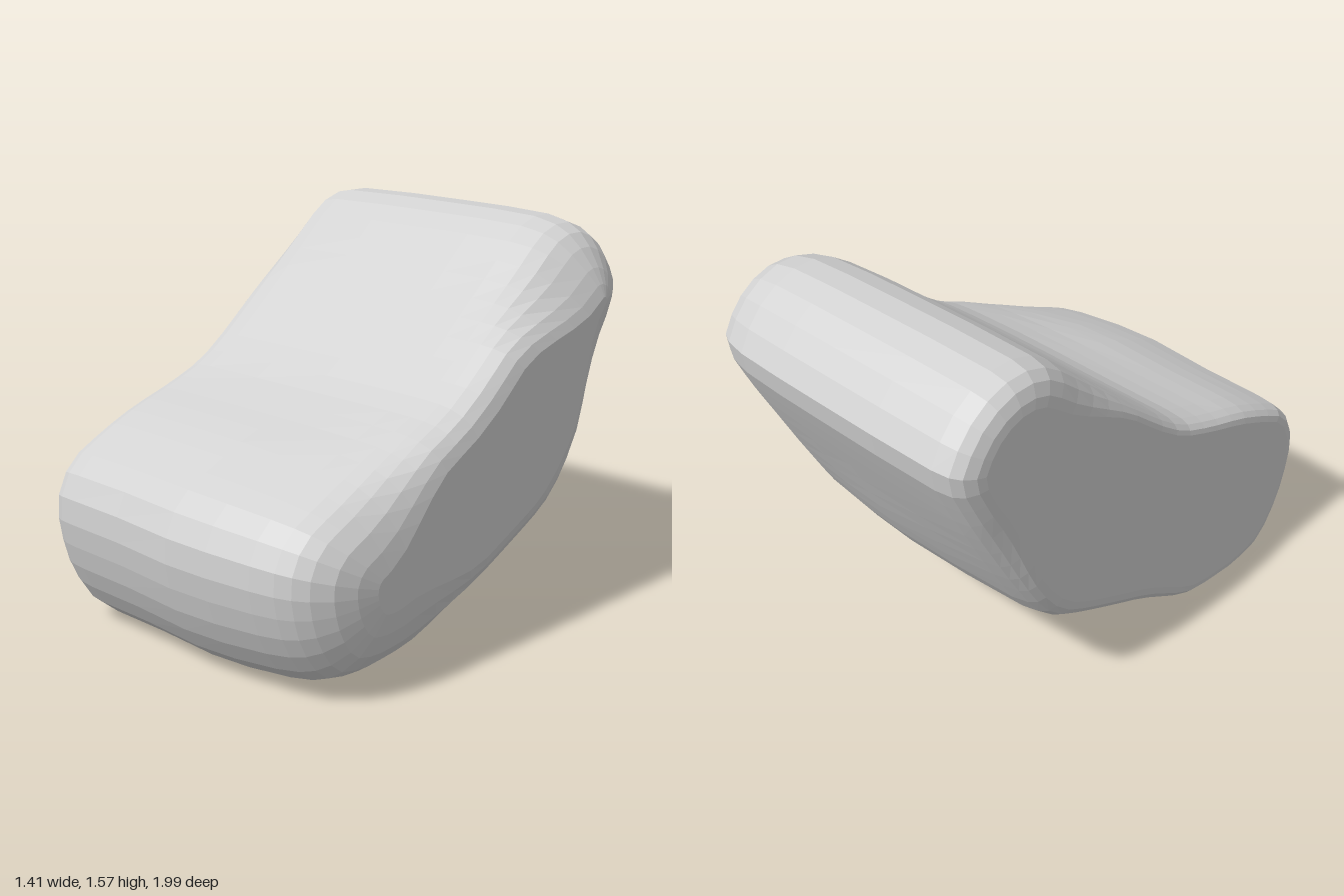
import * as THREE from 'three';

// Side outline as (z, y): front edge, over the seat and backrest, down the back, along the underside
const OUTLINE = new THREE.SplineCurve([
  [1.0, 0.45], [0.99, 0.56], [0.92, 0.67], [0.8, 0.74], [0.6, 0.825], [0.4, 0.885], [0.2, 0.96],
  [0.0, 1.1], [-0.2, 1.27], [-0.4, 1.45], [-0.5, 1.53], [-0.6, 1.57], [-0.7, 1.575], [-0.8, 1.545],
  [-0.9, 1.475], [-0.97, 1.38], [-1.0, 1.3], [-0.97, 1.21], [-0.8, 0.86], [-0.69, 0.64], [-0.6, 0.485],
  [-0.52, 0.4], [-0.4, 0.335], [-0.2, 0.24], [0.0, 0.15], [0.2, 0.06], [0.3, 0.025], [0.45, 0.01],
  [0.6, 0.0], [0.75, 0.02], [0.83, 0.06], [0.91, 0.165], [0.97, 0.3], [1.0, 0.45],
].map(([z, y]) => new THREE.Vector2(z, y))).getSpacedPoints(56).slice(0, -1);

// Bent centre line the sections shrink towards
const SPINE = [[0.55, 0.41], [-0.12, 0.7], [-0.68, 1.25]].map(([z, y]) => new THREE.Vector2(z, y));

// Sections across the width: x, then the shrink at the front roll, seat, underside and top roll
const SECTIONS = [
  [-0.71, 0.15, 0.14, 0.24, 0.4], [-0.705, 0.09, 0.09, 0.17, 0.28], [-0.685, 0.045, 0.045, 0.11, 0.14],
  [-0.65, 0.015, 0.015, 0.07, 0.05], [-0.58, 0, 0, 0.04, 0.01], [-0.3, 0, 0, 0.01, 0], [0, 0, 0, 0, 0.01],
  [0.2, 0.025, 0, 0.02, 0.02], [0.4, 0.075, 0.01, 0.06, 0.05], [0.5, 0.12, 0.02, 0.11, 0.12],
  [0.56, 0.175, 0.035, 0.16, 0.22], [0.61, 0.26, 0.065, 0.22, 0.38], [0.66, 0.41, 0.13, 0.31, 0.61],
  [0.69, 0.6, 0.23, 0.41, 0.8], [0.705, 0.8, 0.36, 0.5, 0.95],
];

// Nearest point on the centre line, and the weights of the four zones there
function anchorOf(p) {
  let best = null;
  for (let i = 0; i < 2; i++) {
    const a = SPINE[i], d = SPINE[i + 1].clone().sub(a);
    const t = THREE.MathUtils.clamp(p.clone().sub(a).dot(d) / d.lengthSq(), 0, 1);
    const point = a.clone().addScaledVector(d, t);
    const dist = point.distanceTo(p);
    if (!best || dist < best.dist) {
      const end = THREE.MathUtils.smoothstep(i === 0 ? 1 - t : t, 0.35, 1);
      const middle = 1 - end, under = p.y < point.y;
      best = {
        point, dist,
        weights: [i === 0 ? end : 0, under ? 0 : middle, under ? middle : 0, i === 1 ? end : 0],
      };
    }
  }
  return best;
}

function cushionGeometry() {
  const positions = [], index = [], n = OUTLINE.length;
  const anchors = OUTLINE.map(anchorOf);
  const rings = SECTIONS.map(([x, ...shrinks]) => {
    // The front edge sits slightly further back on the square-cornered side
    const setback = 1 - 0.042 * (1 - THREE.MathUtils.smoothstep(x, -0.5, 0.15));
    return OUTLINE.map((p, j) => {
      const { point, weights } = anchors[j];
      const k = shrinks.reduce((sum, shrink, s) => sum + shrink * weights[s], 0);
      const q = p.clone().lerp(point, k);
      if (q.x > 0) q.x *= setback;
      positions.push(x, q.y, q.x);
      return q;
    });
  });
  for (let i = 0; i < rings.length - 1; i++) {
    for (let j = 0; j < n; j++) {
      const a = i * n + j, c = i * n + (j + 1) % n;
      index.push(a, a + n, c + n, a, c + n, c);
    }
  }
  // Flat side faces, wound outwards
  for (const i of [0, rings.length - 1]) {
    for (const [a, b, c] of THREE.ShapeUtils.triangulateShape(rings[i], [])) {
      const [A, B, C] = [a, b, c].map((v) => rings[i][v]);
      const facesMinusX = B.clone().sub(A).cross(C.clone().sub(A)) > 0;
      const keep = facesMinusX === (i === 0);
      index.push(i * n + a, i * n + (keep ? b : c), i * n + (keep ? c : b));
    }
  }
  const geometry = new THREE.BufferGeometry();
  geometry.setAttribute('position', new THREE.Float32BufferAttribute(positions, 3));
  geometry.setIndex(index);
  geometry.computeVertexNormals();
  return geometry;
}

export function createModel() {
  const group = new THREE.Group();
  group.name = 'loungeCushion';
  const fabric = new THREE.MeshStandardMaterial({ color: 0xd2d2d2, flatShading: true });
  fabric.name = 'light grey fabric';
  const body = new THREE.Mesh(cushionGeometry(), fabric);
  body.name = 'cushionBody';
  group.add(body);
  return group;
}
